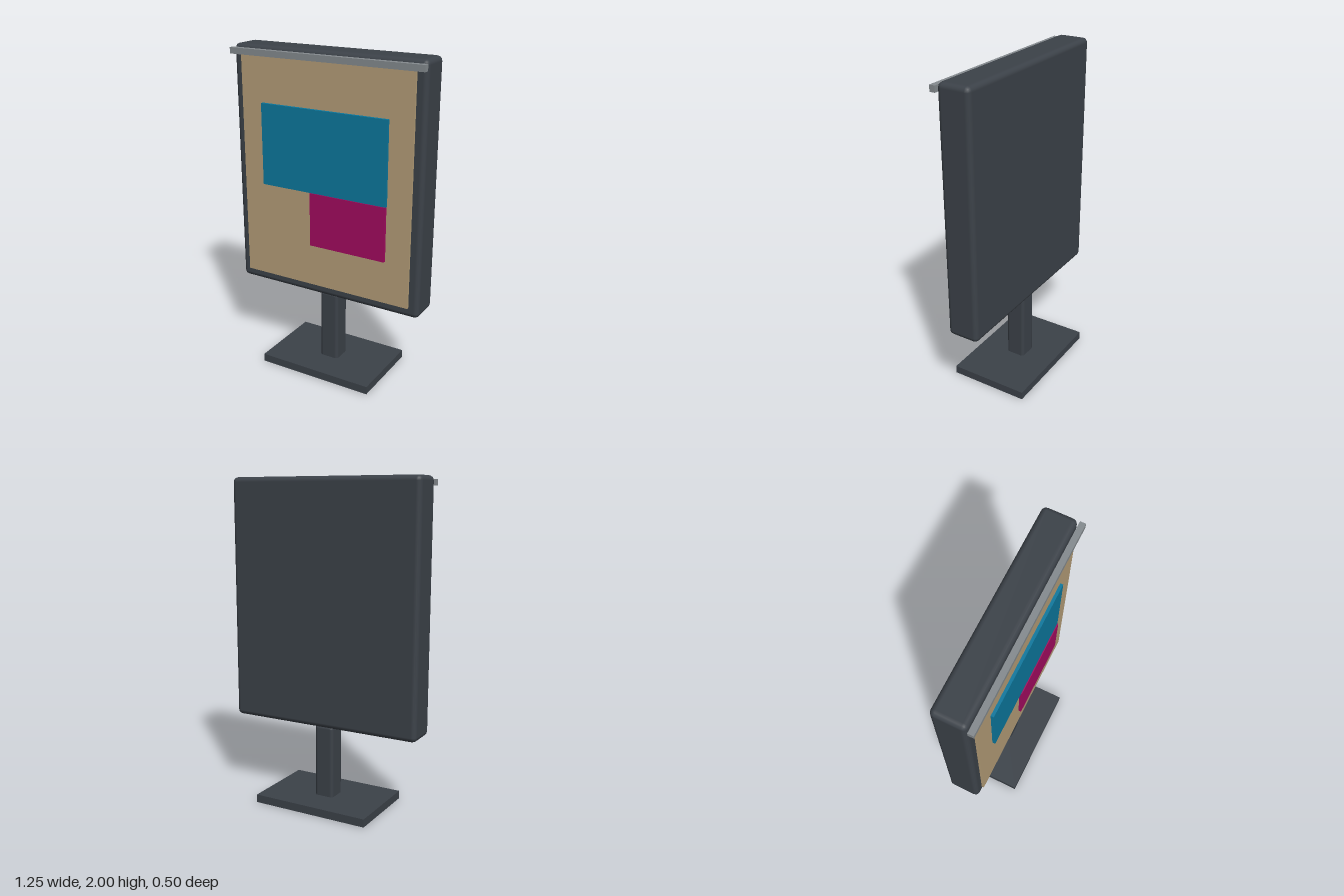
import * as THREE from 'three';
import { RoundedBoxGeometry } from 'three/addons/geometries/RoundedBoxGeometry.js';

const material = (color) => new THREE.MeshStandardMaterial({ color });

export function createModel() {
  const model = new THREE.Group();
  model.name = 'displayStand';
  const frame = material(0x3c4249);
  const metal = material(0x858b8f);

  // Box given by its limits on each axis; a radius rounds its edges
  function addBox(name, mat, [x0, x1], [y0, y1], [z0, z1], radius = 0) {
    const size = [x1 - x0, y1 - y0, z1 - z0];
    const geometry = radius
      ? new RoundedBoxGeometry(...size, 2, radius)
      : new THREE.BoxGeometry(...size);
    const mesh = new THREE.Mesh(geometry, mat);
    mesh.name = name;
    mesh.position.set((x0 + x1) / 2, (y0 + y1) / 2, (z0 + z1) / 2);
    model.add(mesh);
  }

  // Stand
  addBox('base', frame, [-0.375, 0.375], [0, 0.05], [-0.248, 0.248]);
  addBox('post', frame, [-0.062, 0.062], [0.02, 0.505], [-0.062, 0.062], 0.02);

  // Rounded cabinet with the board on its front
  addBox('cabinet', frame, [-0.623, 0.623], [0.503, 2], [-0.1, 0.1], 0.03);
  addBox('board', material(0xb59e78), [-0.562, 0.562], [0.567, 1.945], [0.095, 0.115]);

  // Notices pinned to the board
  addBox('largeNotice', material(0x0c789e), [-0.417, 0.415], [1.17, 1.67], [0.115, 0.133]);
  addBox('smallNotice', material(0xa30b60), [-0.083, 0.415], [0.837, 1.17], [0.122, 0.139]);

  // Rail along the top of the front
  addBox('topRail', metal, [-0.623, 0.623], [1.943, 1.98], [0.106, 0.14]);

  return model;
}
